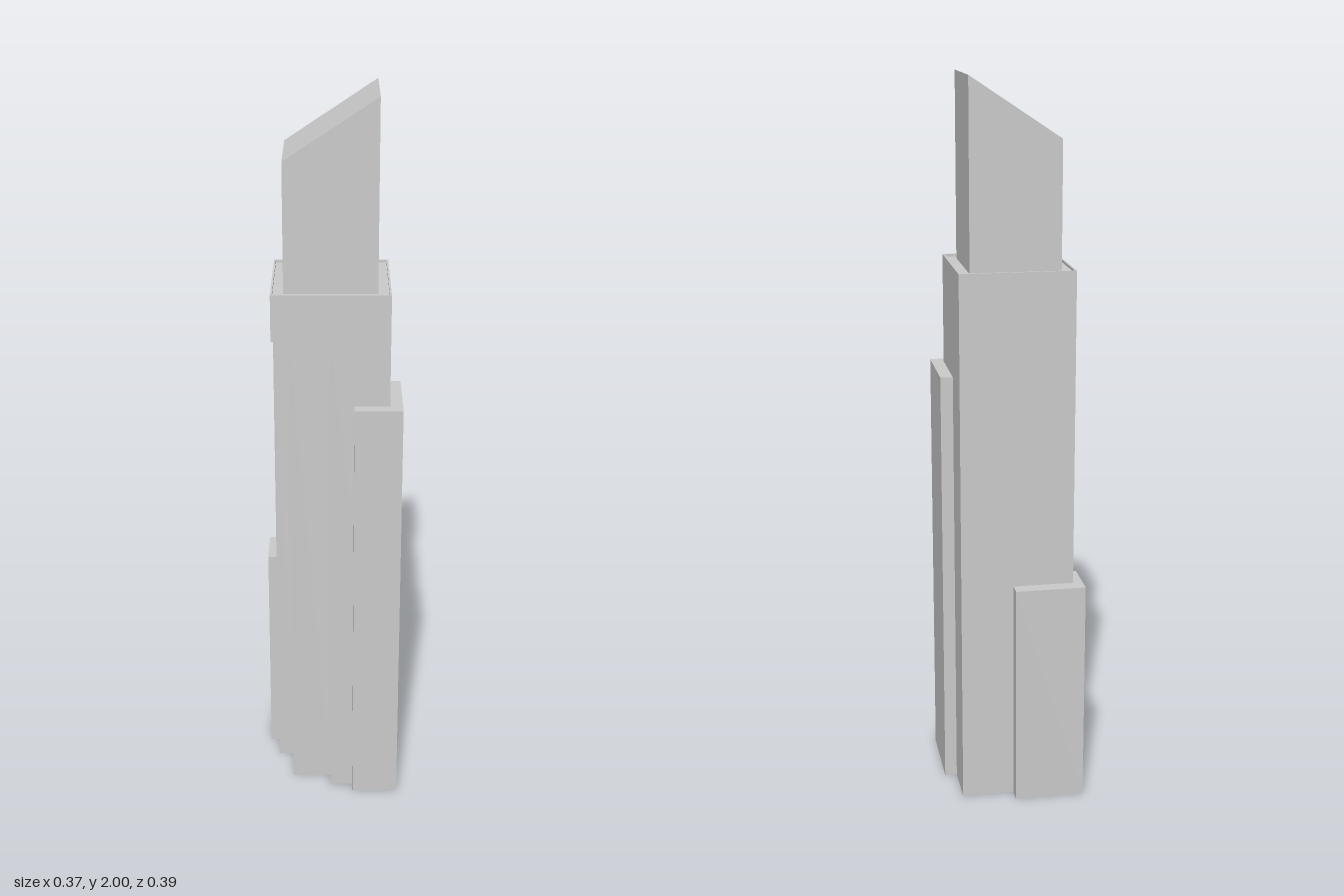
import * as THREE from 'three';

const material = new THREE.MeshStandardMaterial({ color: 0xcccccc, side: THREE.DoubleSide });

// Corners of a rectangle in plan, as [x, z]
const rect = (x0, x1, z0, z1) => [[x0, z0], [x1, z0], [x1, z1], [x0, z1]];
const toPath = (plan, Type) => new Type(plan.map(([x, z]) => new THREE.Vector2(x, -z)));

// Upright prism over a plan outline, from y0 to y1
function prism(name, plan, y0, y1, { hole, open } = {}) {
  const shape = toPath(plan, THREE.Shape);
  if (hole) shape.holes.push(toPath(hole, THREE.Path));
  let geometry = new THREE.ExtrudeGeometry(shape, { depth: y1 - y0, bevelEnabled: false });
  geometry.rotateX(-Math.PI / 2).translate(0, y0, 0);
  if (open) geometry = withoutBottom(geometry);
  const mesh = new THREE.Mesh(geometry, material);
  mesh.name = name;
  return mesh;
}

// Drop the triangles that face straight down
function withoutBottom(geometry) {
  const p = geometry.attributes.position, n = geometry.attributes.normal;
  const pos = [], nor = [];
  for (let i = 0; i < p.count; i += 3) {
    if (n.getY(i) < -0.5) continue;
    for (let k = i; k < i + 3; k++) {
      pos.push(p.getX(k), p.getY(k), p.getZ(k));
      nor.push(n.getX(k), n.getY(k), n.getZ(k));
    }
  }
  return new THREE.BufferGeometry()
    .setAttribute('position', new THREE.Float32BufferAttribute(pos, 3))
    .setAttribute('normal', new THREE.Float32BufferAttribute(nor, 3));
}

export function createModel() {
  const group = new THREE.Group();
  group.name = 'skyscraper';

  // Main shaft, stepped in at the front corner, hollow underneath
  const shaft = [
    [-0.16, -0.155], [0.152, -0.155], [0.152, 0.16], [-0.005, 0.16],
    [-0.005, 0.118], [-0.115, 0.118], [-0.115, 0.006], [-0.16, 0.006],
  ];
  group.add(prism('shaft', shaft, 0, 1.376, { open: true }));

  // Overhanging upper storeys with a thin parapet
  const cap = rect(-0.16, 0.152, -0.155, 0.16);
  group.add(prism('upperStoreys', cap, 1.376, 1.495));
  group.add(prism('parapet', cap, 1.495, 1.502, { hole: rect(-0.155, 0.147, -0.149, 0.155) }));

  // Lower wings wrapped round two opposite corners
  group.add(prism('frontWing', rect(0.058, 0.186, -0.026, 0.193), 0, 1.197, { open: true }));
  group.add(prism('backWing', rect(-0.187, 0.007, -0.195, -0.068), 0, 0.63, { open: true }));

  // Crown with a slanted roof
  const profile = [[-0.127, 1.495], [0.118, 1.495], [0.118, 2], [-0.127, 1.838]];
  const crownShape = new THREE.Shape(profile.map(([x, y]) => new THREE.Vector2(x, y)));
  const crownGeometry = new THREE.ExtrudeGeometry(crownShape, { depth: 0.245, bevelEnabled: false });
  const crown = new THREE.Mesh(crownGeometry.translate(0, 0, -0.119), material);
  crown.name = 'slantedCrown';
  group.add(crown);

  return group;
}
